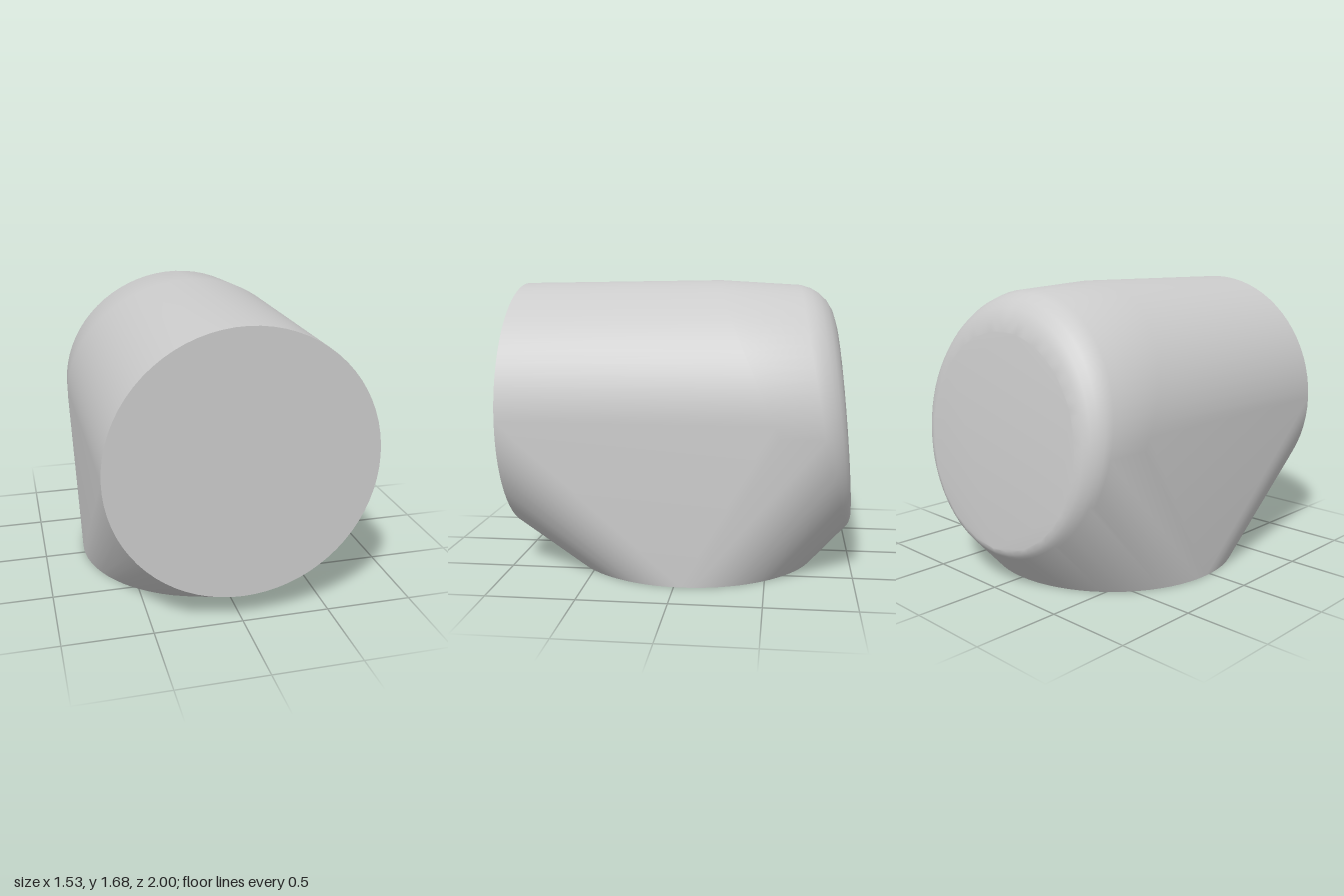
import * as THREE from 'three';
import { ConvexGeometry } from 'three/addons/geometries/ConvexGeometry.js';
import { toCreasedNormals } from 'three/addons/utils/BufferGeometryUtils.js';

const SEGMENTS = 72;

// Tilted planar ring spanning from its top point to its bottom point, with half-width rx
function ring(rx, yTop, zTop, yBottom, zBottom) {
  const points = [];
  for (let i = 0; i < SEGMENTS; i++) {
    const a = (i / SEGMENTS) * Math.PI * 2;
    const t = (1 + Math.sin(a)) / 2;
    points.push(new THREE.Vector3(
      rx * Math.cos(a),
      yBottom + (yTop - yBottom) * t,
      zBottom + (zTop - zBottom) * t
    ));
  }
  return points;
}

export function createModel() {
  const group = new THREE.Group();
  group.name = 'elbowBody';

  // Skin stretched over the front face, the rounded back end and the flat foot
  const points = [
    // front face
    ...ring(0.755, 1.667, 1, 0.157, 1),
    // widest band of the barrel
    ...ring(0.765, 1.685, -0.2, 0.155, -0.9),
    // rounded shoulder of the back end
    ...ring(0.745, 1.657, -0.68, 0.163, -0.94),
    ...ring(0.73, 1.638, -0.74, 0.172, -0.956),
    ...ring(0.708, 1.608, -0.79, 0.184, -0.97),
    ...ring(0.682, 1.565, -0.835, 0.198, -0.983),
    ...ring(0.652, 1.51, -0.868, 0.214, -0.993),
    // flat, slightly tilted back face
    ...ring(0.61, 1.44, -0.89, 0.235, -1),
    // circular foot on the ground
    ...ring(0.757, 0, -0.797, 0, 0.717),
  ];

  const geometry = toCreasedNormals(new ConvexGeometry(points), 0.45);
  const body = new THREE.Mesh(geometry, new THREE.MeshStandardMaterial({ color: 0xcccccc }));
  body.name = 'body';
  group.add(body);
  return group;
}
